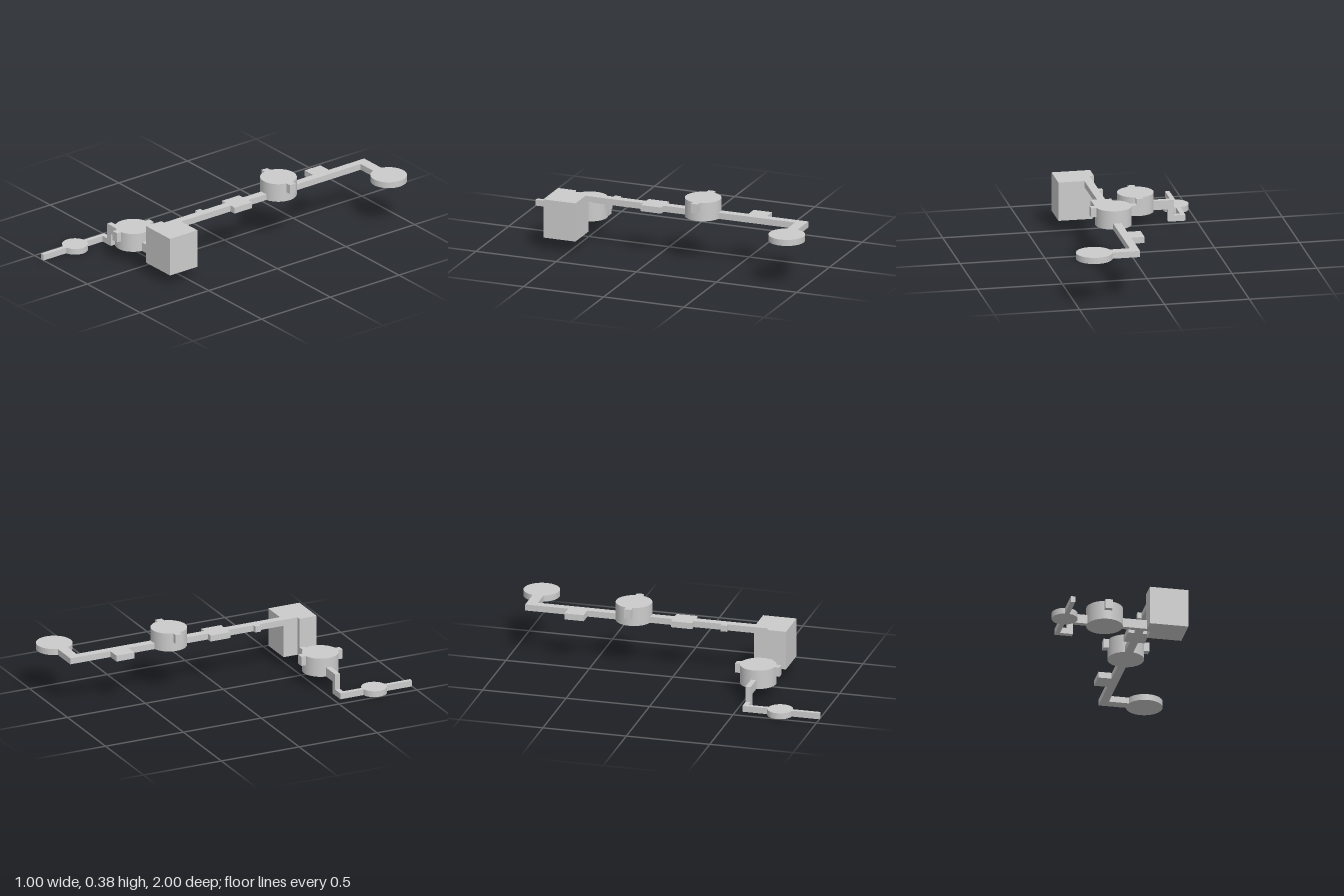
import * as THREE from 'three';

const material = new THREE.MeshStandardMaterial({ color: 0xcccccc });

export function createModel() {
  const model = new THREE.Group();

  const add = (name, geometry, x, y, z) => {
    const mesh = new THREE.Mesh(geometry, material);
    mesh.name = name;
    mesh.position.set(x, y, z);
    model.add(mesh);
  };
  // Box given by its limits on each axis
  const box = (name, [x0, x1], [y0, y1], [z0, z1]) =>
    add(name, new THREE.BoxGeometry(x1 - x0, y1 - y0, z1 - z0),
      (x0 + x1) / 2, (y0 + y1) / 2, (z0 + z1) / 2);
  const drum = (name, r, x, [y0, y1], z) =>
    add(name, new THREE.CylinderGeometry(r, r, y1 - y0, 64), x, (y0 + y1) / 2, z);

  const high = [0.27, 0.307];  // upper walkway
  const mid = [0.075, 0.13];   // middle walkway
  const low = [0, 0.036];      // lower walkway

  // Central block with a notched back corner
  const plan = new THREE.Shape([
    [0.101, -0.65], [0.328, -0.65], [0.328, -0.45],
    [0.127, -0.45], [0.127, -0.539], [0.101, -0.539],
  ].map(([x, y]) => new THREE.Vector2(x, y)));
  const block = new THREE.ExtrudeGeometry(plan, { depth: 0.232, bevelEnabled: false });
  block.rotateX(-Math.PI / 2);
  add('centralBlock', block, 0, 0.075, 0);

  // Upper walkway with side platforms
  box('upperWalkway', [0.127, 0.175], high, [-0.92, 0.46]);
  box('smallLedge', [0.104, 0.13], high, [0.257, 0.295]);
  box('crossPlatform', [0.091, 0.213], high, [-0.037, 0.09]);
  box('sidePlatform', [0.048, 0.13], high, [-0.662, -0.547]);
  box('backWalkway', [0.127, 0.32], high, [-0.92, -0.857]);
  drum('backDisc', 0.106, 0.392, high, -0.894);

  // Upper drum with tabs left and right
  drum('upperDrum', 0.106, 0.153, [0.27, 0.381], -0.275);
  for (const s of [-1, 1]) {
    const xs = [0.153 + s * 0.095, 0.153 + s * 0.135].sort((a, b) => a - b);
    box('upperDrumTab', xs, [0.326, 0.381], [-0.296, -0.254]);
  }

  // Middle walkway, drum with tabs front and back
  box('middleWalkway', [-0.37, 0.127], mid, [0.539, 0.57]);
  drum('middleDrum', 0.106, -0.146, [0.075, 0.188], 0.553);
  for (const s of [-1, 1]) {
    const zs = [0.553 + s * 0.095, 0.553 + s * 0.133].sort((a, b) => a - b);
    box('middleDrumTab', [-0.167, -0.125], [0.131, 0.188], zs);
  }

  // Post down to the lower walkway
  box('post', [-0.37, -0.336], [0, 0.13], [0.539, 0.57]);
  box('lowerCorner', [-0.438, -0.36], low, [0.539, 0.57]);
  box('lowerWalkway', [-0.438, -0.412], low, [0.539, 1]);
  drum('lowerDisc', 0.075, -0.425, low, 0.762);

  return model;
}
